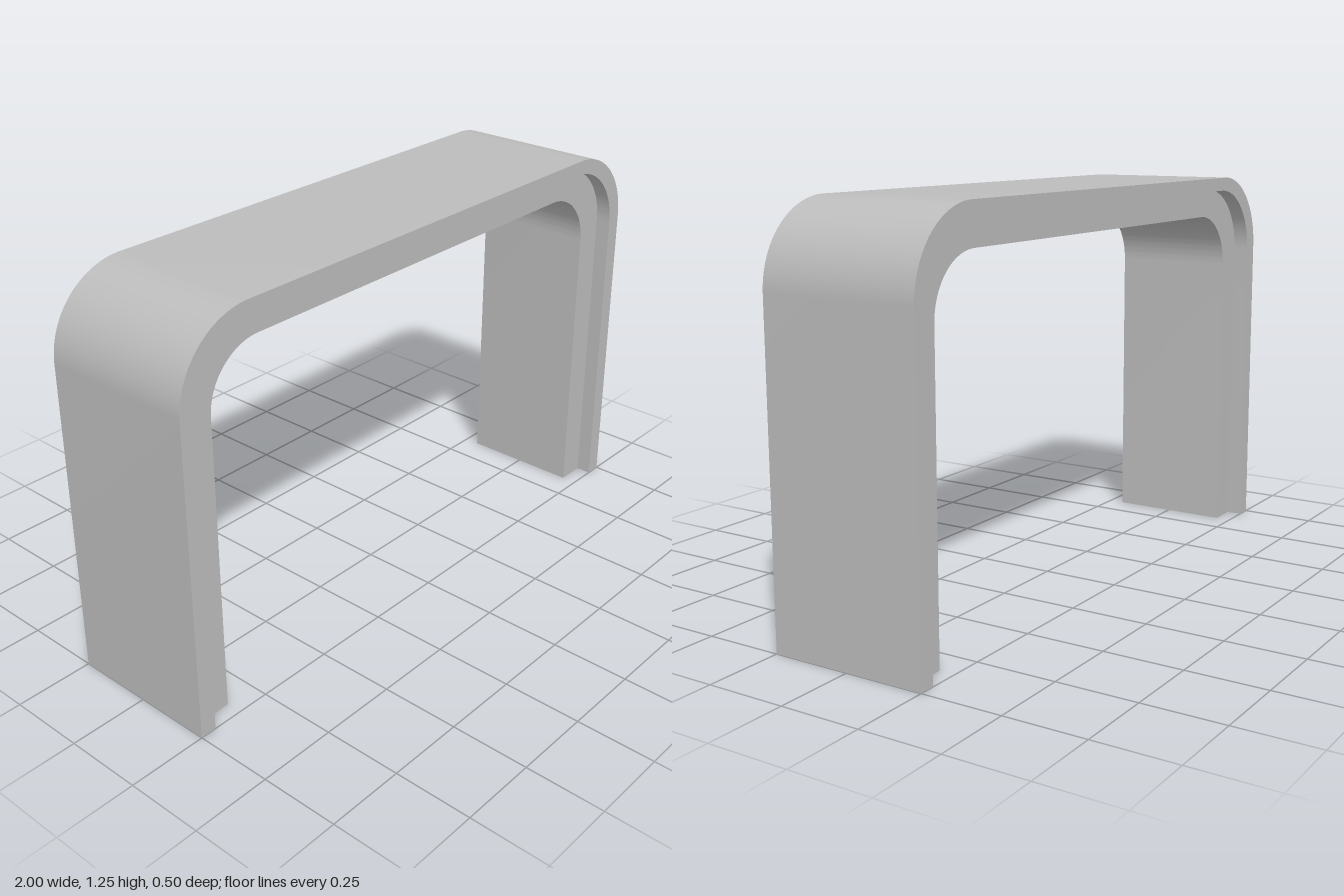
import * as THREE from 'three';
import { toCreasedNormals } from 'three/addons/utils/BufferGeometryUtils.js';

// Upside-down U with rounded shoulders, traced from left foot to right foot
function archPoints(halfWidth, top, radius) {
  const path = new THREE.Path();
  path.moveTo(-halfWidth, 0);
  path.lineTo(-halfWidth, top - radius);
  path.absarc(-halfWidth + radius, top - radius, radius, Math.PI, Math.PI / 2, true);
  path.lineTo(halfWidth - radius, top);
  path.absarc(halfWidth - radius, top - radius, radius, Math.PI / 2, 0, true);
  path.lineTo(halfWidth, 0);
  return path.getPoints(20);
}

// Solid band between two arches, centred on z = 0
function archBand(name, outer, inner, depth, material) {
  const shape = new THREE.Shape([...archPoints(...outer), ...archPoints(...inner).reverse()]);
  const extruded = new THREE.ExtrudeGeometry(shape, { depth, bevelEnabled: false });
  extruded.translate(0, 0, -depth / 2);
  const mesh = new THREE.Mesh(toCreasedNormals(extruded, Math.PI / 6), material);
  mesh.name = name;
  return mesh;
}

export function createModel() {
  const grey = new THREE.MeshStandardMaterial({ color: 0xbcbcbc });
  grey.name = 'plain grey';

  // Half width, top height and shoulder radius of each arch
  const outerArch = [1, 1.25, 0.25];
  const stepArch = [0.948, 1.206, 0.22];
  const innerArch = [0.853, 1.117, 0.18];

  const group = new THREE.Group();
  group.name = 'archFrame';
  // Full-depth outer shell, and an inner lining set back at both faces
  group.add(archBand('outerShell', outerArch, stepArch, 0.5, grey));
  group.add(archBand('innerLining', stepArch, innerArch, 0.4, grey));
  return group;
}
